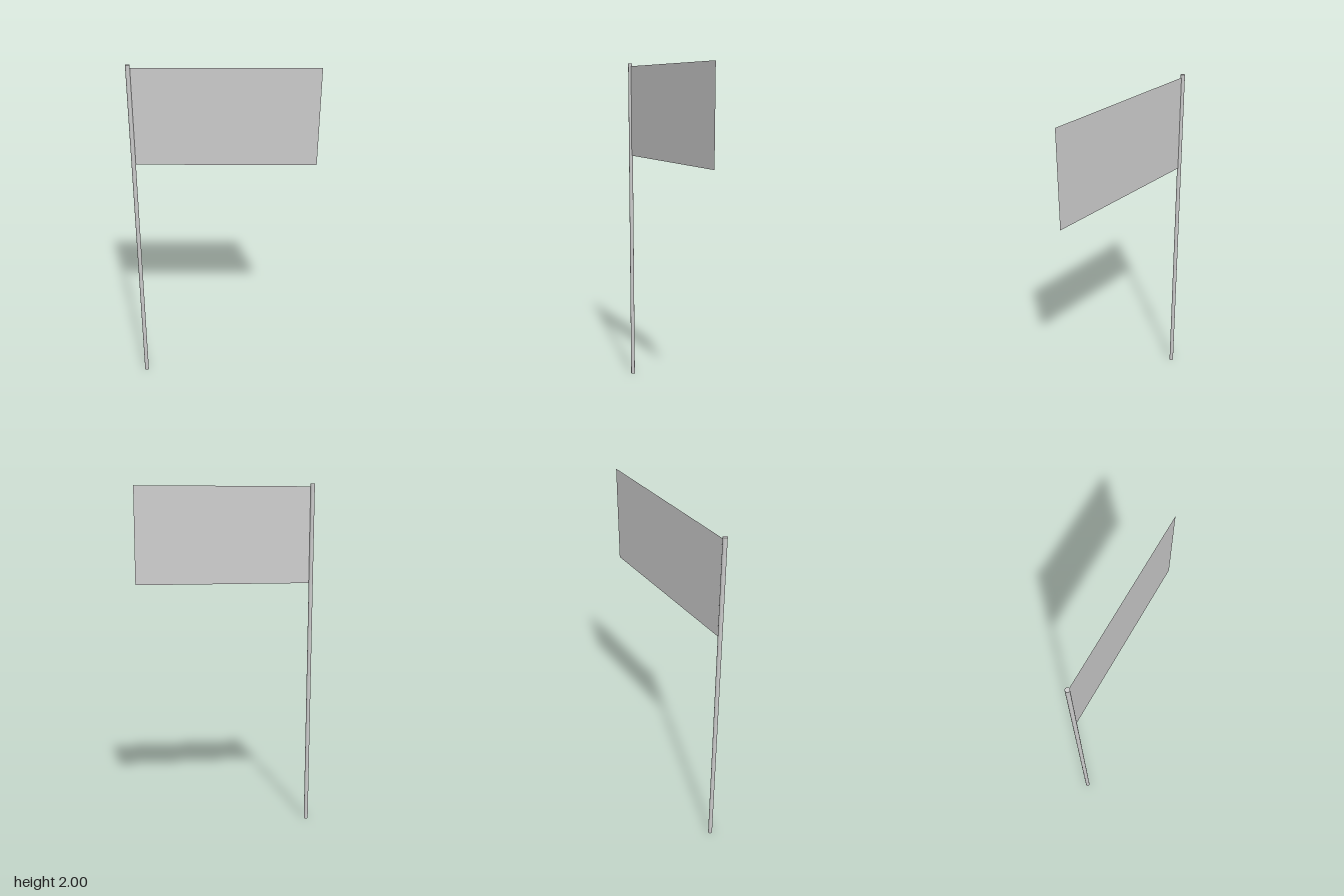
import * as THREE from 'three';

export function createModel() {
  const group = new THREE.Group();
  const poleRadius = 0.012, poleX = -0.498;
  const flagRight = 0.51, flagTop = 1.985, flagBottom = 1.44;

  // Slim upright pole with closed ends
  const pole = new THREE.Mesh(
    new THREE.CylinderGeometry(poleRadius, poleRadius, 2, 16),
    new THREE.MeshStandardMaterial({ color: 0xcccccc })
  );
  pole.name = 'pole';
  pole.position.set(poleX, 1, 0);
  group.add(pole);

  // Flat cloth, thin as a sheet, attached to the side of the pole
  const flagLeft = poleX + poleRadius * 0.9;
  const flag = new THREE.Mesh(
    new THREE.PlaneGeometry(flagRight - flagLeft, flagTop - flagBottom),
    new THREE.MeshStandardMaterial({ color: 0xcccccc, side: THREE.DoubleSide })
  );
  flag.name = 'flag';
  flag.position.set((flagLeft + flagRight) / 2, (flagTop + flagBottom) / 2, 0);
  group.add(flag);

  return group;
}
